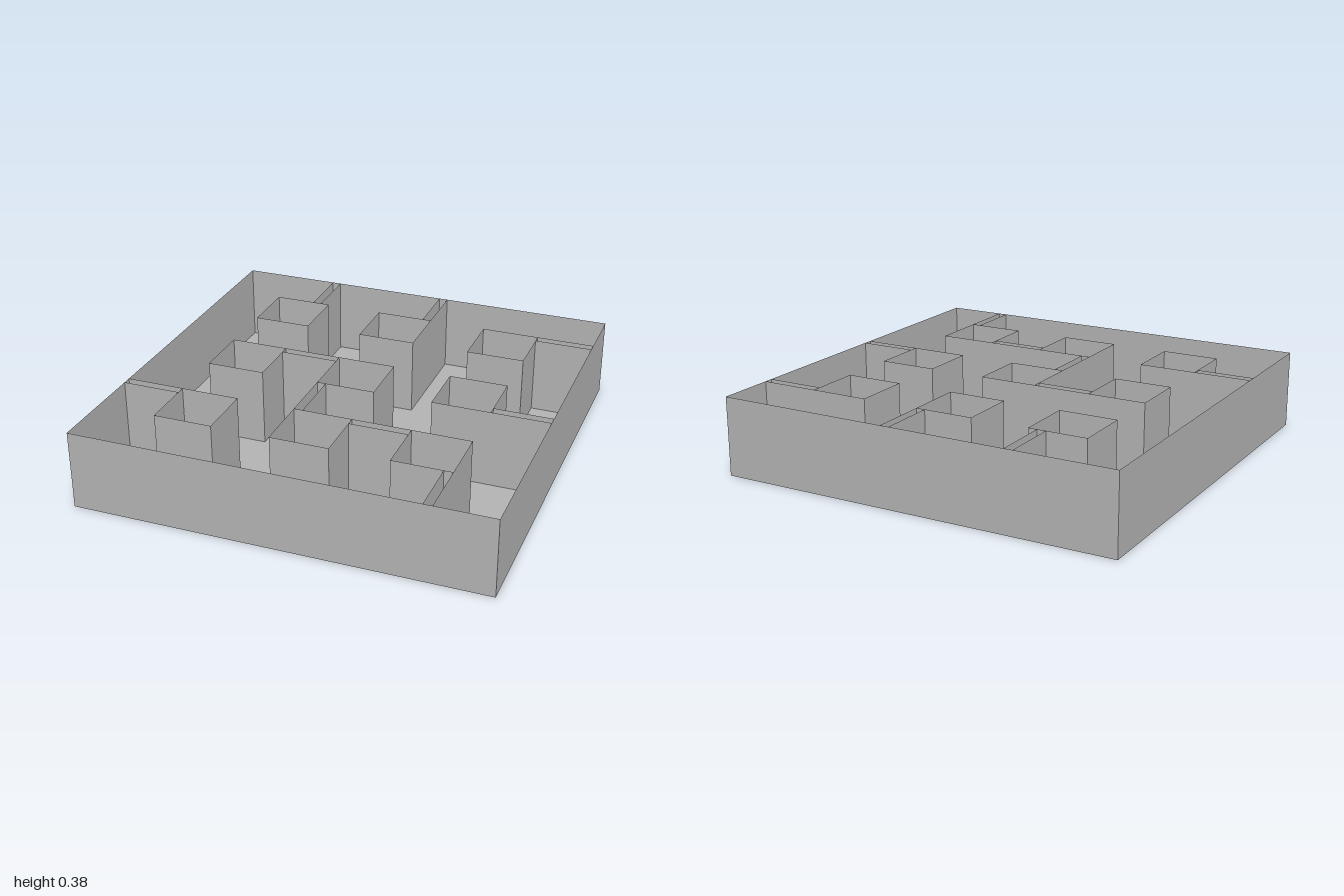
import * as THREE from 'three';

const H = 0.385;        // wall height
const CELL = 2 / 7;     // grid pitch, also the shaft width
const T = 0.043;        // gap between the two sheets of a partition

const grey = new THREE.MeshStandardMaterial({ color: 0xb2b2b2, side: THREE.DoubleSide });
grey.name = 'plainGrey';

// Thin upright sheet between two floor points
function sheet(x1, z1, x2, z2) {
  const geo = new THREE.PlaneGeometry(Math.hypot(x2 - x1, z2 - z1), H);
  const mesh = new THREE.Mesh(geo, grey);
  mesh.position.set((x1 + x2) / 2, H / 2, (z1 + z2) / 2);
  mesh.rotation.y = -Math.atan2(z2 - z1, x2 - x1);
  return mesh;
}

// Four sheets around a square, open at the top
function squareTube(name, cx, cz, half) {
  const g = new THREE.Group();
  g.name = name;
  const c = [[-1, 1], [1, 1], [1, -1], [-1, -1]].map(([x, z]) => [cx + x * half, cz + z * half]);
  c.forEach((p, i) => g.add(sheet(...p, ...c[(i + 1) % 4])));
  return g;
}

export function createModel() {
  const model = new THREE.Group();
  model.name = 'courtyardBlock';

  // Floor plate with nine square openings
  const outline = new THREE.Shape();
  outline.moveTo(-1, -1).lineTo(1, -1).lineTo(1, 1).lineTo(-1, 1).closePath();
  const centres = [-2 * CELL, 0, 2 * CELL];
  const h = CELL / 2;
  for (const x of centres) for (const z of centres) {
    const hole = new THREE.Path();
    hole.moveTo(x - h, z - h).lineTo(x - h, z + h).lineTo(x + h, z + h).lineTo(x + h, z - h).closePath();
    outline.holes.push(hole);
    model.add(squareTube('shaft', x, z, h));
  }
  const floor = new THREE.Mesh(new THREE.ShapeGeometry(outline).rotateX(-Math.PI / 2), grey);
  floor.name = 'floor';
  model.add(floor);

  model.add(squareTube('outerWall', 0, 0, 1));

  // Hollow partitions, one from each shaft: [axis it runs along, from, to, offset of its lower side]
  const a = CELL / 2, b = 1.5 * CELL, c = 2.5 * CELL;
  const partitions = [
    ['z', -1, -c, -0.515],
    ['z', -1, -c, a - T],
    ['x', c, 1, -c],
    ['x', -b, -a, -a],
    ['z', a, b, -a],
    ['x', c, 1, a - T],
    ['x', -1, -c, b],
    ['x', a, b, b],
    ['z', c, 1, c - T],
  ];
  for (const [axis, from, to, side] of partitions) {
    const g = new THREE.Group();
    g.name = 'partition';
    for (const s of [side, side + T]) {
      g.add(axis === 'x' ? sheet(from, s, to, s) : sheet(s, from, s, to));
    }
    model.add(g);
  }
  return model;
}
